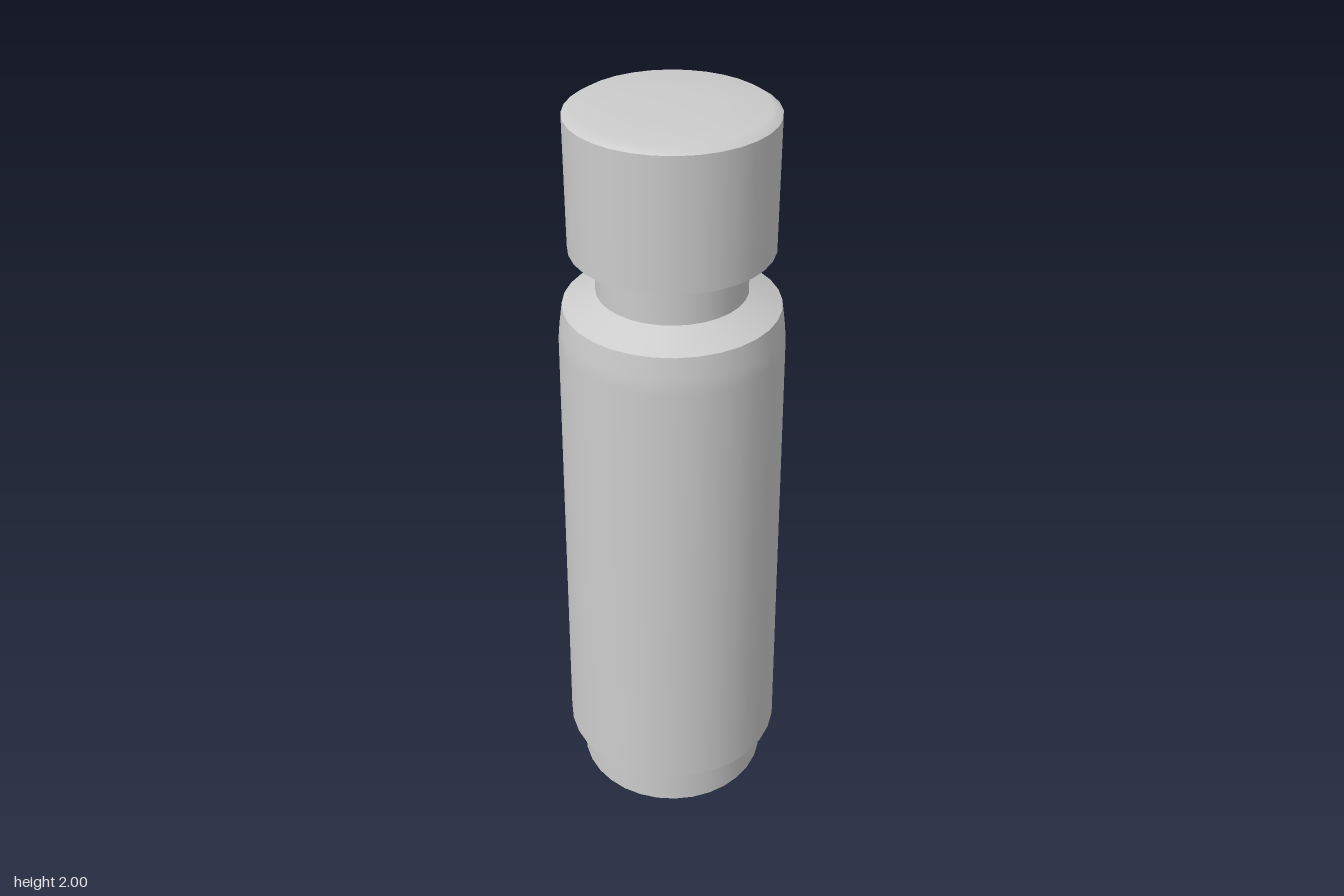
import * as THREE from 'three';

const SIDES = 32;

export function createModel() {
  const material = new THREE.MeshStandardMaterial({ color: 0xcccccc });
  const flask = new THREE.Group();
  flask.name = 'flask';

  // Each run of [radius, height] points is one smooth band; edges between runs stay sharp.
  function addPart(name, runs) {
    const part = new THREE.Group();
    part.name = name;
    runs.forEach((run, i) => {
      const points = run.map(([r, y]) => new THREE.Vector2(r, y));
      const mesh = new THREE.Mesh(new THREE.LatheGeometry(points, SIDES), material);
      mesh.name = `${name}Band${i + 1}`;
      part.add(mesh);
    });
    flask.add(part);
  }

  // Foot ring with the recessed underside
  addPart('base', [
    [[0, 0.05], [0.232, 0.05]],
    [[0.232, 0.05], [0.232, 0]],
    [[0.232, 0], [0.263, 0]],
    [[0.263, 0], [0.263, 0.1]],
  ]);

  // Tapered body with bevelled bottom edge and sloping shoulder
  addPart('body', [
    [[0.263, 0.1], [0.3, 0.135]],
    [[0.3, 0.135], [0.298, 0.27], [0.282, 1.4], [0.278, 1.44], [0.27, 1.497]],
    [[0.27, 1.497], [0.187, 1.535]],
  ]);

  // Narrow neck
  addPart('neck', [[[0.187, 1.535], [0.187, 1.637]]]);

  // Cap with a slightly conical underside and a shallow domed top
  addPart('cap', [
    [[0.187, 1.635], [0.2, 1.635], [0.251, 1.65]],
    [[0.251, 1.65], [0.251, 1.98]],
    [[0.251, 1.98], [0.228, 1.994], [0.12, 1.999], [0, 2]],
  ]);

  return flask;
}
